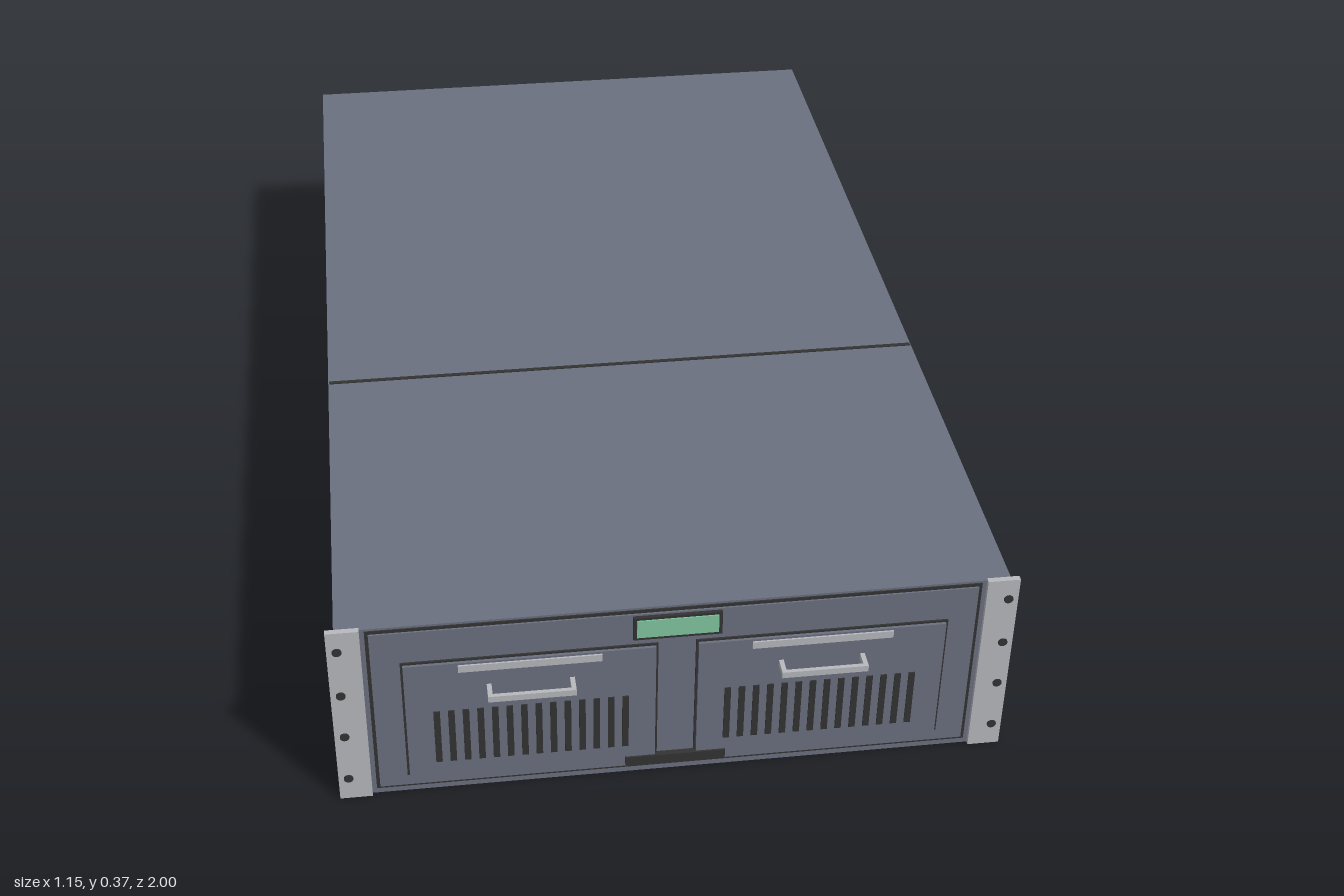
import * as THREE from 'three';

const mat = (name, color) => {
  const m = new THREE.MeshStandardMaterial({ color });
  m.name = name;
  return m;
};

export function createModel() {
  const slate = mat('slate casing', 0x6b7080);
  const dark = mat('dark openings', 0x333333);
  const silver = mat('silver trim', 0xb7b9be);
  const grey = mat('grey rear plates', 0xabacae);
  const green = mat('green display', 0x80c6a0);

  const model = new THREE.Group();
  model.name = 'rackServer';

  // Box given by its limits on each axis
  const box = (name, m, x0, x1, y0, y1, z0, z1, parent = model) => {
    const mesh = new THREE.Mesh(new THREE.BoxGeometry(x1 - x0, y1 - y0, z1 - z0), m);
    mesh.position.set((x0 + x1) / 2, (y0 + y1) / 2, (z0 + z1) / 2);
    mesh.name = name;
    parent.add(mesh);
    return mesh;
  };
  // Disc facing along z
  const disc = (name, m, r, depth, x, y, z, parent = model) => {
    const geo = new THREE.CylinderGeometry(r, r, depth, 24).rotateX(Math.PI / 2);
    const mesh = new THREE.Mesh(geo, m);
    mesh.position.set(x, y, z);
    mesh.name = name;
    parent.add(mesh);
  };
  const group = (name, x = 0) => {
    const g = new THREE.Group();
    g.name = name;
    g.position.x = x;
    model.add(g);
    return g;
  };

  // Casing with the seam between its two lids
  box('casing', slate, -0.56, 0.56, 0, 0.367, -0.955, 0.955);
  box('lidSeam', dark, -0.558, 0.558, 0.364, 0.3685, 0.243, 0.251);

  // Side vents and rack ears
  for (const s of [-1, 1]) {
    const vents = group(s > 0 ? 'leftVents' : 'rightVents');
    for (let i = 0; i < 10; i++) {
      const z = 0.067 + i * 0.0639;
      box('sideVent', dark, s * 0.56 - 0.003, s * 0.56 + 0.003, 0.107, 0.278, z - 0.014, z + 0.014, vents);
    }
    const ear = group(s > 0 ? 'leftEar' : 'rightEar');
    box('earPlate', silver, s * 0.5465 - 0.0275, s * 0.5465 + 0.0275, 0, 0.369, 0.952, 0.962, ear);
    for (const y of [0.046, 0.142, 0.234, 0.329]) {
      disc('earHole', dark, 0.008, 0.004, s * 0.557, y, 0.962, ear);
    }
  }

  // Front panel with a dark surrounding gap
  box('frontGap', dark, -0.511, 0.511, 0.012, 0.363, 0.953, 0.957);
  box('frontPanel', slate, -0.505, 0.505, 0.018, 0.357, 0.953, 0.96);

  // Two drive bays
  for (const s of [-1, 1]) {
    const bay = group(s > 0 ? 'leftBay' : 'rightBay', s * 0.2445);
    box('bayGap', dark, -0.213, 0.213, 0.043, 0.294, 0.955, 0.963, bay);
    box('bayDoor', slate, -0.209, 0.209, 0.047, 0.29, 0.955, 0.968, bay);
    box('labelStrip', silver, -0.119, 0.119, 0.272, 0.286, 0.966, 0.971, bay);
    box('handleBar', silver, -0.073, 0.073, 0.228, 0.24, 0.993, 1.0, bay);
    for (const e of [-1, 1]) {
      box('handlePost', silver, e * 0.069 - 0.004, e * 0.069 + 0.004, 0.228, 0.24, 0.966, 0.996, bay);
    }
    for (let i = 0; i < 14; i++) {
      const x = (i - 6.5) * 0.0243;
      box('bayVent', dark, x - 0.0055, x + 0.0055, 0.074, 0.188, 0.966, 0.97, bay);
    }
  }

  // Status display and lower latch
  box('displayFrame', dark, -0.074, 0.074, 0.307, 0.354, 0.958, 0.966);
  box('display', green, -0.068, 0.068, 0.313, 0.349, 0.96, 0.968);
  box('lowerLatch', dark, -0.086, 0.086, 0.028, 0.046, 0.958, 0.97);

  // Rear panel
  box('rearGap', dark, -0.535, 0.535, 0.014, 0.353, -0.958, -0.953);
  box('rearPanel', slate, -0.528, 0.528, 0.021, 0.346, -0.962, -0.953);

  // Two power supplies
  for (const x of [0.212, 0.402]) {
    const psu = group('powerSupply', x);
    box('psuPlate', grey, -0.082, 0.082, 0.043, 0.342, -0.979, -0.96, psu);
    disc('fanOpening', dark, 0.033, 0.004, -0.018, 0.192, -0.979, psu);
    const ring = new THREE.Mesh(new THREE.TorusGeometry(0.023, 0.002, 6, 24), grey);
    ring.position.set(-0.018, 0.192, -0.981);
    ring.name = 'fanGuard';
    psu.add(ring);
    for (let i = 0; i < 2; i++) {
      const bar = box('fanSpoke', grey, -0.046, 0.01, 0.1905, 0.1935, -0.983, -0.981, psu);
      bar.rotation.z = Math.PI / 4 + i * Math.PI / 2;
    }
    disc('fanHub', dark, 0.009, 0.005, -0.018, 0.192, -0.982, psu);
    box('powerSocket', dark, 0.036, 0.066, 0.177, 0.209, -0.982, -0.977, psu);
    box('pullBar', grey, -0.032, 0.032, 0.095, 0.106, -1.0, -0.994, psu);
    for (const e of [-1, 1]) {
      box('pullPost', grey, e * 0.029 - 0.003, e * 0.029 + 0.003, 0.095, 0.106, -0.997, -0.977, psu);
    }
  }

  // Rear vents
  const rearVents = group('rearVents');
  for (let i = 0; i < 8; i++) {
    const x = -0.034 + i * 0.0195;
    box('rearVent', dark, x - 0.006, x + 0.006, 0.05, 0.305, -0.965, -0.96, rearVents);
  }

  // Connector plate and ports
  box('connectorPlate', grey, -0.489, -0.066, 0.125, 0.23, -0.976, -0.96);
  box('networkPort', dark, -0.386, -0.342, 0.156, 0.202, -0.98, -0.974);
  box('smallPort', dark, -0.449, -0.417, 0.09, 0.12, -0.966, -0.96);

  return model;
}
